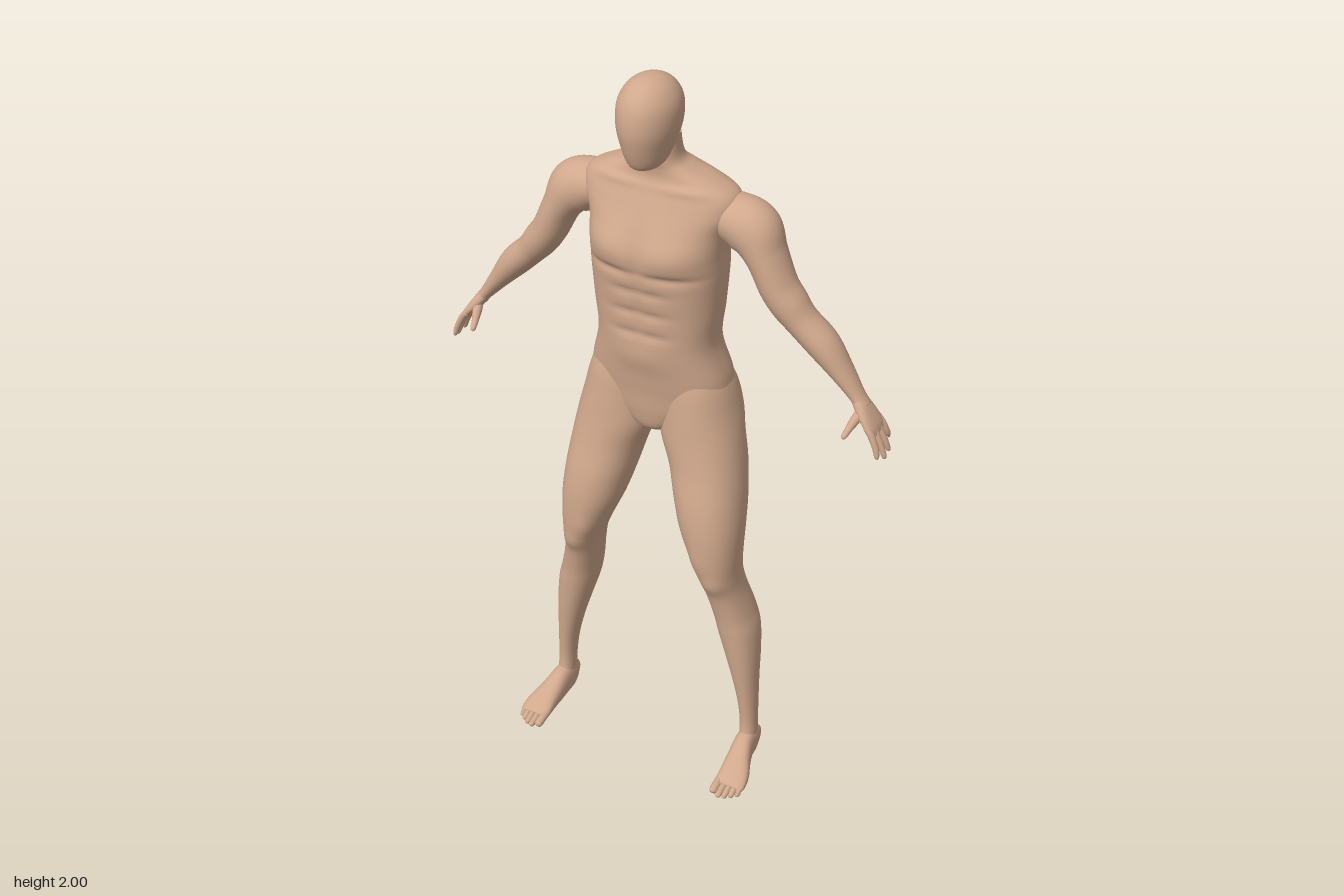
import * as THREE from 'three';

const skin = new THREE.MeshStandardMaterial({ color: 0xd0a88c });
skin.name = 'skin';

// Smoothly interpolate every column of a table of sections
function refine(rows, steps) {
  const out = [];
  const at = (i) => rows[Math.min(Math.max(i, 0), rows.length - 1)];
  for (let i = 0; i < rows.length - 1; i++) {
    for (let s = 0; s < steps; s++) {
      const t = s / steps;
      out.push(rows[i].map((b, k) => {
        const a = at(i - 1)[k], c = at(i + 1)[k], d = at(i + 2)[k];
        return b + 0.5 * t * (c - a + t * (2 * a - 5 * b + 4 * c - d + t * (3 * (b - c) + d - a)));
      }));
    }
  }
  out.push(rows[rows.length - 1]);
  return out;
}

// Close a list of rings into one smooth, outward facing surface
function skinRings(rings) {
  const n = rings[0].length, last = rings.length - 1, pos = [], idx = [];
  rings.forEach((r) => r.forEach((p) => pos.push(p.x, p.y, p.z)));
  for (let i = 0; i < last; i++) {
    for (let j = 0; j < n; j++) {
      const a = i * n + j, b = i * n + (j + 1) % n;
      idx.push(a, a + n, b, b, a + n, b + n);
    }
  }
  [0, last].forEach((row) => {
    const c = new THREE.Vector3();
    rings[row].forEach((p) => c.addScaledVector(p, 1 / n));
    const centre = pos.length / 3;
    pos.push(c.x, c.y, c.z);
    for (let j = 0; j < n; j++) {
      const a = row * n + j, b = row * n + (j + 1) % n;
      idx.push(centre, ...(row ? [b, a] : [a, b]));
    }
  });
  const g = new THREE.BufferGeometry();
  g.setAttribute('position', new THREE.Float32BufferAttribute(pos, 3));
  g.setIndex(idx);
  // Reverse the corners if the enclosed volume comes out negative
  const v = [0, 1, 2].map(() => new THREE.Vector3());
  let volume = 0;
  for (let i = 0; i < idx.length; i += 3) {
    v.forEach((q, k) => q.fromArray(pos, idx[i + k] * 3));
    volume += v[0].dot(v[1].clone().cross(v[2]));
  }
  if (volume < 0) g.setIndex(idx.slice().reverse());
  g.computeVertexNormals();
  return g;
}

const power = (v, p) => Math.sign(v) * Math.abs(v) ** p;
const ring = (n, f) => Array.from({ length: n }, (_, j) => {
  const a = (j / n) * Math.PI * 2;
  return f(Math.cos(a), Math.sin(a));
});

// Level sections: [y, xMin, xMax, zMin, zMax]
function stack(rows, segs, steps, p = 1) {
  return skinRings(refine(rows, steps).map(([y, x0, x1, z0, z1]) => ring(segs, (c, s) =>
    new THREE.Vector3((x0 + x1) / 2 + power(c, p) * (x1 - x0) / 2, y, (z0 + z1) / 2 + power(s, p) * (z1 - z0) / 2))));
}

// Sections square to a path: [x, y, z, radius across, radius along ref]
function limb(rows, ref, segs = 32, steps = 8, p = 1) {
  const list = refine(rows, steps);
  const point = (i) => new THREE.Vector3(...list[Math.min(Math.max(i, 0), list.length - 1)].slice(0, 3));
  return skinRings(list.map((r, i) => {
    const t = point(i + 1).sub(point(i - 1)).normalize();
    const b = ref.clone().cross(t).normalize(), n = t.clone().cross(b);
    return ring(segs, (c, s) => point(i).addScaledVector(b, power(c, p) * r[3]).addScaledVector(n, power(s, p) * r[4]));
  }));
}

// Push muscles out or grooves in: [x, y, facing z, width, height, amount]
function sculpt(g, bumps) {
  const p = g.attributes.position, n = g.attributes.normal;
  for (let i = 0; i < p.count; i++) {
    let d = 0;
    for (const [x, y, f, w, h, amount] of bumps) {
      const dx = (Math.abs(p.getX(i)) - x) / w, dy = (p.getY(i) - y) / h;
      d += amount * Math.exp(-dx * dx - dy * dy) * Math.max(0, n.getZ(i) * f);
    }
    p.setXYZ(i, p.getX(i) + n.getX(i) * d, p.getY(i) + n.getY(i) * d, p.getZ(i) + n.getZ(i) * d);
  }
  g.computeVertexNormals();
  return g;
}

function mirror(g) {
  const m = g.clone().scale(-1, 1, 1);
  m.setIndex(Array.from(g.index.array).reverse());
  m.computeVertexNormals();
  return m;
}

export function createModel() {
  const model = new THREE.Group();
  model.name = 'figure';
  const add = (name, g) => {
    const mesh = new THREE.Mesh(g, skin);
    mesh.name = name;
    model.add(mesh);
  };
  const pair = (name, g) => {
    add('left' + name, g);
    add('right' + name, mirror(g));
  };
  const X = new THREE.Vector3(1, 0, 0), Y = new THREE.Vector3(0, 1, 0), Z = new THREE.Vector3(0, 0, 1);
  const even = ([y, w, z0, z1]) => [y, -w, w, z0, z1];

  // Head
  add('head', stack([
    [1.782, 0.02, 0.02, 0.07], [1.788, 0.036, -0.01, 0.083], [1.805, 0.049, -0.035, 0.094],
    [1.84, 0.061, -0.06, 0.106], [1.88, 0.072, -0.076, 0.114], [1.92, 0.075, -0.08, 0.112],
    [1.95, 0.0695, -0.073, 0.103], [1.975, 0.0545, -0.055, 0.085], [1.99, 0.0363, -0.032, 0.063],
    [1.998, 0.0167, -0.008, 0.038], [2, 0.002, 0.012, 0.018],
  ].map(even), 48, 6));

  // Torso with neck, chest, belly and buttocks
  const torso = stack([
    [1.015, 0.02, -0.07, -0.01], [1.04, 0.06, -0.125, 0.03], [1.09, 0.135, -0.15, 0.045],
    [1.15, 0.182, -0.16, 0.052], [1.2, 0.184, -0.163, 0.06], [1.3, 0.158, -0.148, 0.074],
    [1.4, 0.166, -0.153, 0.08], [1.5, 0.172, -0.163, 0.09], [1.56, 0.172, -0.165, 0.094],
    [1.62, 0.18, -0.16, 0.075], [1.67, 0.2, -0.15, 0.052], [1.71, 0.195, -0.135, 0.034],
    [1.74, 0.145, -0.118, 0.022], [1.765, 0.09, -0.1, 0.022], [1.79, 0.061, -0.08, 0.027],
    [1.85, 0.055, -0.065, 0.03],
  ].map(even), 120, 12, 0.82);
  const folds = [1.46, 1.4, 1.34].map((y) => [0.03, y, 1, 0.045, 0.011, -0.006]);
  add('torso', sculpt(torso, [
    ...folds,
    [0.085, 1.575, 1, 0.06, 0.045, 0.01], [0, 1.57, 1, 0.015, 0.07, -0.006],
    [0.08, 1.512, 1, 0.07, 0.011, -0.007], [0, 1.4, 1, 0.012, 0.12, -0.005],
    [0, 1.27, 1, 0.07, 0.04, 0.006], [0.1, 1.722, 1, 0.08, 0.01, 0.005],
    [0, 1.45, -1, 0.018, 0.25, -0.014], [0.1, 1.6, -1, 0.05, 0.06, 0.009],
    [0.045, 1.35, -1, 0.03, 0.1, 0.006], [0.07, 1.15, -1, 0.06, 0.055, 0.026],
    [0, 1.11, -1, 0.014, 0.075, -0.035],
  ]));

  // Legs
  const leg = stack([
    [1.25, 0.04, 0.15, -0.11, 0.03], [1.18, 0.015, 0.188, -0.15, 0.046], [1.1, 0.008, 0.211, -0.165, 0.054],
    [1.03, 0.013, 0.227, -0.148, 0.06], [0.95, 0.043, 0.241, -0.138, 0.07], [0.86, 0.068, 0.252, -0.12, 0.088],
    [0.78, 0.092, 0.257, -0.095, 0.095], [0.7, 0.126, 0.256, -0.077, 0.092], [0.64, 0.15, 0.255, -0.071, 0.082],
    [0.58, 0.165, 0.262, -0.08, 0.062], [0.5, 0.181, 0.283, -0.098, 0.045], [0.44, 0.193, 0.299, -0.1, 0.039],
    [0.36, 0.217, 0.306, -0.086, 0.032], [0.28, 0.24, 0.308, -0.07, 0.024], [0.2, 0.258, 0.31, -0.059, 0.016],
    [0.13, 0.266, 0.312, -0.053, 0.011], [0.08, 0.268, 0.314, -0.053, 0.015], [0.04, 0.272, 0.312, -0.05, 0.02],
  ], 56, 8, 0.92);
  pair('Leg', sculpt(leg, [
    [0.085, 1.13, -1, 0.065, 0.05, 0.018], [0.1, 1.045, -1, 0.07, 0.014, -0.006],
    [0.21, 0.625, 1, 0.03, 0.03, 0.006], [0.165, 0.69, 1, 0.025, 0.04, 0.005],
    [0.205, 0.6, -1, 0.02, 0.05, -0.006],
  ]));

  // Feet, flattened at the sole
  const foot = limb([
    [0.293, 0.03, -0.057, 0.01, 0.015], [0.293, 0.038, -0.05, 0.02, 0.034], [0.292, 0.046, -0.025, 0.026, 0.046],
    [0.293, 0.047, 0.015, 0.028, 0.047], [0.299, 0.036, 0.06, 0.034, 0.036], [0.307, 0.026, 0.1, 0.041, 0.026],
    [0.31, 0.019, 0.13, 0.043, 0.018], [0.31, 0.015, 0.15, 0.039, 0.011],
  ], Y, 40, 8, 0.8);
  pair('Foot', foot);

  // Toes, largest on the inner side
  [[0.278, 0.183, 0.0115], [0.297, 0.19, 0.0085], [0.313, 0.185, 0.008], [0.328, 0.175, 0.008], [0.342, 0.163, 0.0075]]
    .forEach(([x, z, r], i) => pair('Toe' + (i + 1), limb([
      [x, 0.02, 0.115, r, r], [x, 0.018, 0.145, r, r], [x, r + 0.002, z - 0.012, r, r],
      [x, r + 0.001, z - 0.003, r * 0.7, r * 0.7], [x, r, z, r * 0.15, r * 0.15],
    ], Y, 16, 5)));

  // Arms from shoulder to wrist
  pair('Arm', limb([
    [0.12, 1.662, -0.055, 0.04, 0.055], [0.185, 1.652, -0.055, 0.06, 0.066], [0.24, 1.63, -0.052, 0.068, 0.069],
    [0.277, 1.577, -0.047, 0.049, 0.063], [0.312, 1.505, -0.044, 0.045, 0.057], [0.342, 1.462, -0.046, 0.045, 0.053],
    [0.375, 1.422, -0.05, 0.04, 0.047], [0.43, 1.367, -0.058, 0.039, 0.047], [0.482, 1.303, -0.061, 0.027, 0.037],
    [0.522, 1.252, -0.06, 0.018, 0.027], [0.545, 1.225, -0.058, 0.015, 0.027],
  ], Z, 48, 10));

  // Palms
  pair('Palm', limb([
    [0.522, 1.25, -0.06, 0.014, 0.022], [0.54, 1.228, -0.057, 0.016, 0.03], [0.56, 1.203, -0.054, 0.014, 0.039],
    [0.577, 1.181, -0.053, 0.011, 0.042], [0.587, 1.167, -0.053, 0.006, 0.037],
  ], Z, 32, 6, 0.85));

  // Fingers from little finger to index, then thumb
  [[-0.087, -0.098, 0.6, 1.127], [-0.064, -0.07, 0.613, 1.107], [-0.041, -0.04, 0.615, 1.103], [-0.019, -0.013, 0.606, 1.115]]
    .forEach(([z0, z1, x, y], i) => pair('Finger' + (i + 1), limb([
      [0.568, 1.192, z0, 0.008, 0.009], [0.582, 1.174, z0, 0.009, 0.01],
      [(0.588 + x) / 2, (1.17 + y) / 2, (z0 + z1) / 2, 0.008, 0.0085],
      [x - 0.003, y + 0.007, z1, 0.006, 0.0065], [x, y, z1, 0.001, 0.001],
    ], Z, 16, 5)));
  pair('Thumb', limb([
    [0.545, 1.22, -0.05, 0.012, 0.012], [0.537, 1.203, -0.024, 0.013, 0.012], [0.53, 1.186, -0.001, 0.009, 0.009],
    [0.526, 1.174, 0.017, 0.007, 0.007], [0.525, 1.17, 0.023, 0.001, 0.001],
  ], X, 16, 5));

  return model;
}
